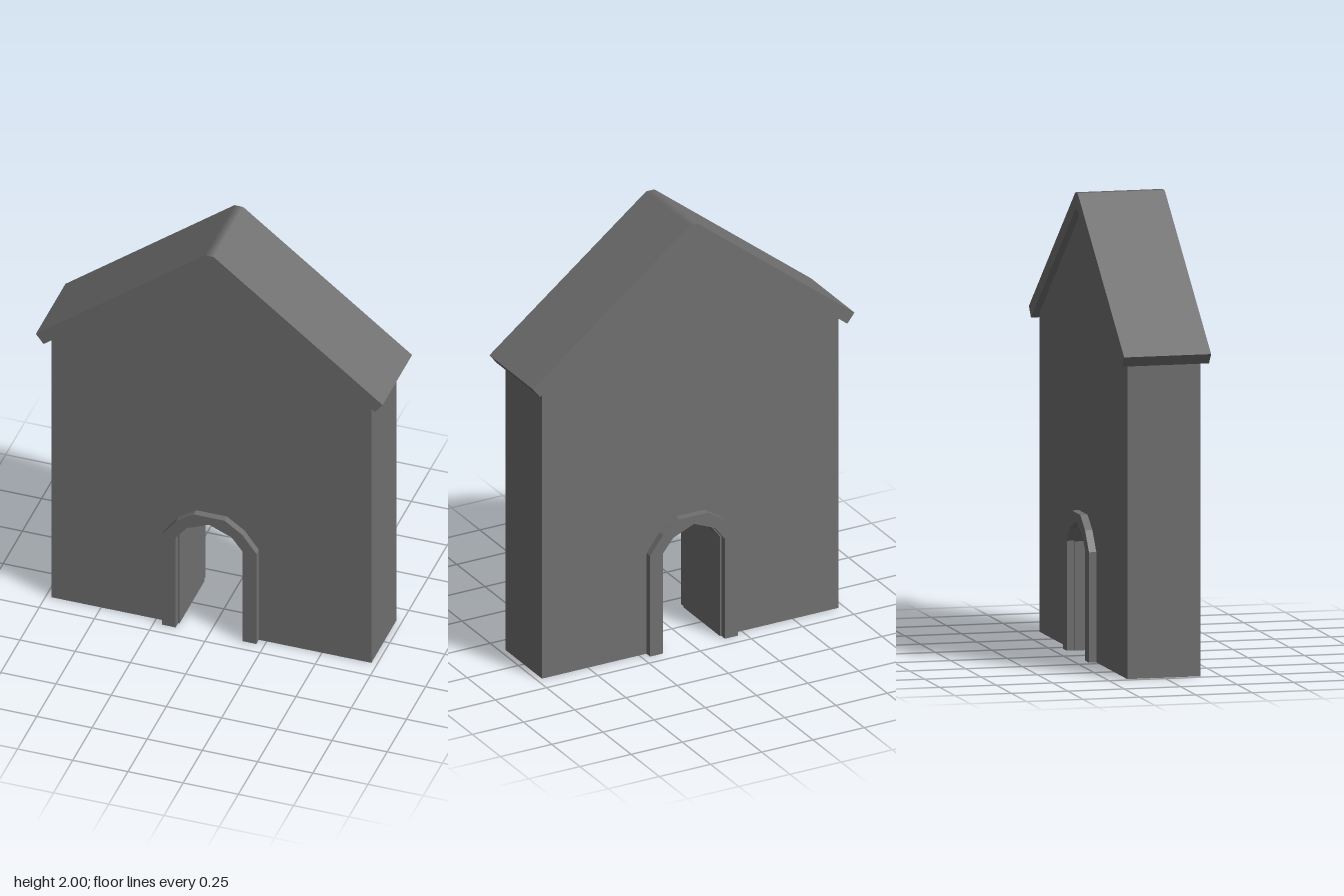
import * as THREE from 'three';

const material = new THREE.MeshStandardMaterial({ color: 0x707070, side: THREE.DoubleSide });

// Mirror a right-hand half profile (listed bottom to top) onto the left side
const mirror = (half) => [
  ...half,
  ...half.filter(([x]) => x > 0).reverse().map(([x, y]) => [-x, y]),
];

// Extrude an outline along z, centred on the given z
function slab(name, points, depth, z = 0) {
  const shape = new THREE.Shape(points.map(([x, y]) => new THREE.Vector2(x, y)));
  const geometry = new THREE.ExtrudeGeometry(shape, { depth, bevelEnabled: false });
  geometry.translate(0, 0, z - depth / 2);
  const mesh = new THREE.Mesh(geometry, material);
  mesh.name = name;
  return mesh;
}

// Drop the triangles lying on the ground, leaving a hollow shell
function openBottom({ geometry }) {
  const { position, normal } = geometry.attributes;
  const kept = [];
  for (let i = 0; i < position.count; i += 3) {
    const onGround = [i, i + 1, i + 2].every((v) => Math.abs(position.getY(v)) < 1e-6);
    if (!onGround || Math.abs(normal.getY(i)) < 0.9) kept.push(i, i + 1, i + 2);
  }
  geometry.setIndex(kept);
  geometry.clearGroups();
}

// Blend the narrow ridge strip smoothly into both slopes
function smoothRidge({ geometry }) {
  const { position, normal } = geometry.attributes;
  for (let i = 0; i < position.count; i++) {
    if (position.getY(i) > 1.99 && Math.abs(normal.getZ(i)) < 0.5) {
      normal.setXYZ(i, Math.sign(position.getX(i)) * 0.617, 0.787, 0);
    }
  }
}

export function createModel() {
  const house = new THREE.Group();
  house.name = 'gabledArchway';

  const wallDepth = 0.325;
  const roofDepth = 0.385;
  const trimDepth = 0.05;

  const roofTop = [[0.785, 1.4], [0.02, 2]];
  const roofUnderside = [[0.75, 1.355], [0.02, 1.927]];
  const gable = [[0.724, 0], [0.724, 1.376], [0.02, 1.927]];
  const doorway = [[0.145, 0], [0.145, 0.472], [0.099, 0.532], [0, 0.573]];
  const trimInner = [[0.151, 0], [0.151, 0.475], [0.102, 0.537], [0, 0.58]];
  const trimOuter = [[0.214, 0], [0.214, 0.477], [0.15, 0.563], [0.07, 0.618]];

  // Hollow gabled wall with the arched passage cut out of its base
  const wall = slab('wall', [...mirror(gable), ...mirror(doorway).reverse()], wallDepth);
  openBottom(wall);

  // Folded roof slab overhanging the wall on all sides
  const roof = slab('roof', [...mirror(roofTop), ...mirror(roofUnderside).reverse()], roofDepth);
  smoothRidge(roof);
  house.add(wall, roof);

  // Raised surround on both faces of the passage, set slightly into the wall
  const surround = [...mirror(trimOuter), ...mirror(trimInner).reverse()];
  for (const [name, side] of [['frontArchTrim', 1], ['backArchTrim', -1]]) {
    house.add(slab(name, surround, trimDepth, side * (0.195 - trimDepth / 2)));
  }

  return house;
}
